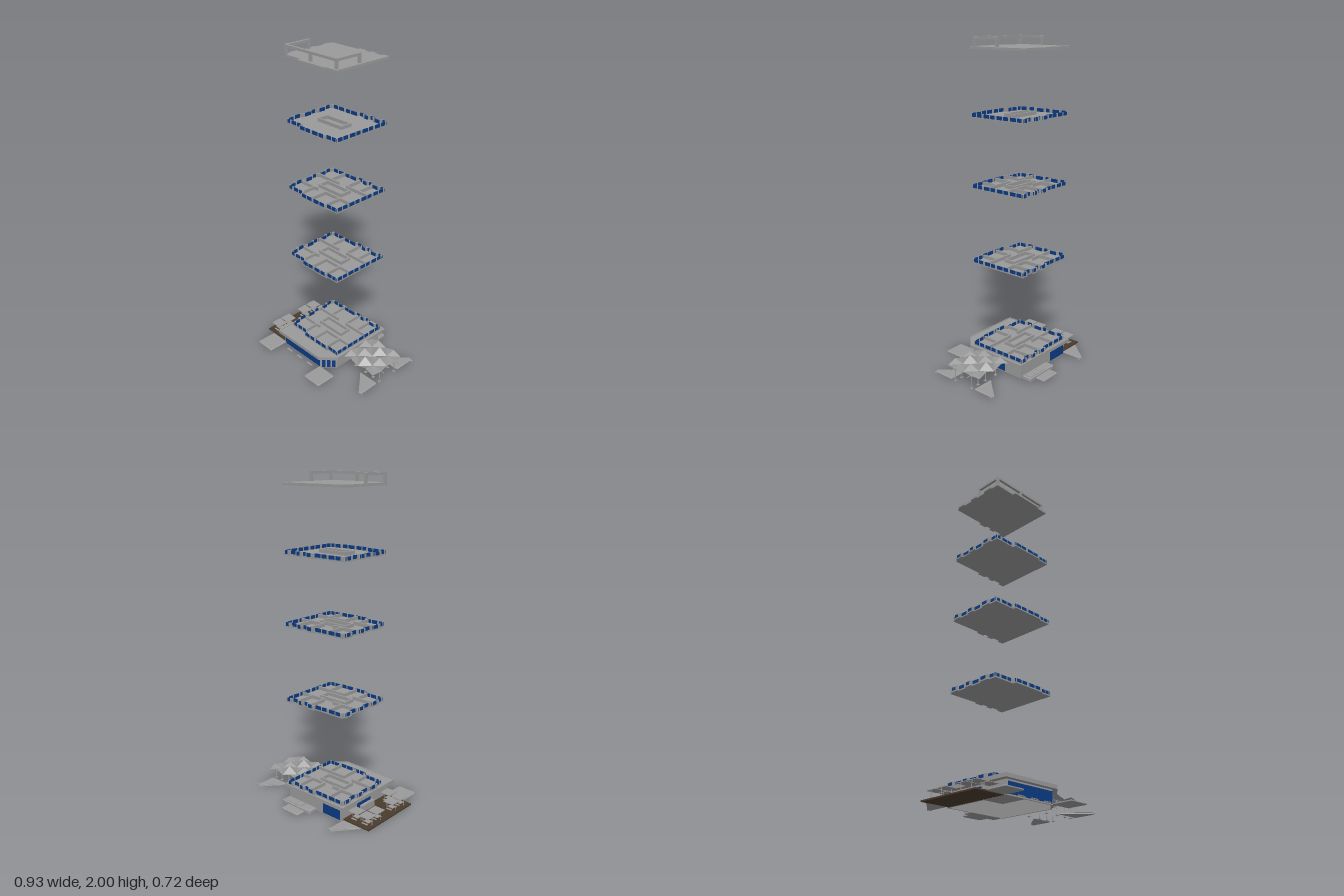
import * as THREE from 'three';

const grey = new THREE.MeshStandardMaterial({ color: 0x9a9a9a, flatShading: true, side: THREE.DoubleSide });
const blue = new THREE.MeshStandardMaterial({ color: 0x0b3b84, flatShading: true, side: THREE.DoubleSide });
const brown = new THREE.MeshStandardMaterial({ color: 0x4a3c2d, flatShading: true });

function add(parent, name, geo, mat = grey) {
  const m = new THREE.Mesh(geo, mat);
  m.name = name;
  parent.add(m);
  return m;
}

// Box given by its limits on each axis
function box(parent, name, x0, x1, y0, y1, z0, z1, mat) {
  const m = add(parent, name, new THREE.BoxGeometry(x1 - x0, y1 - y0, z1 - z0), mat);
  m.position.set((x0 + x1) / 2, (y0 + y1) / 2, (z0 + z1) / 2);
}

// Upright wall from a to b (x, z pairs), moved inward by inset
function wall(parent, name, a, b, y0, y1, t, mat, inset = 0) {
  const dx = b[0] - a[0], dz = b[1] - a[1], len = Math.hypot(dx, dz);
  const m = add(parent, name, new THREE.BoxGeometry(len, y1 - y0, t), mat);
  m.position.set((a[0] + b[0]) / 2 - (dz / len) * inset, (y0 + y1) / 2, (a[1] + b[1]) / 2 + (dx / len) * inset);
  m.rotation.y = -Math.atan2(dz, dx);
}

const mix = (a, b, t) => [a[0] + (b[0] - a[0]) * t, a[1] + (b[1] - a[1]) * t];

// Plan outline (x, z pairs) with optionally rounded corners
function outline(pts, r = 0, Type = THREE.Shape) {
  const s = new Type();
  pts.forEach((p, i) => {
    const prev = pts[(i + pts.length - 1) % pts.length], next = pts[(i + 1) % pts.length];
    const near = (q) => mix(p, q, r / Math.hypot(q[0] - p[0], q[1] - p[1]));
    const a = near(prev), b = near(next);
    if (i) s.lineTo(a[0], -a[1]); else s.moveTo(a[0], -a[1]);
    if (r) s.quadraticCurveTo(p[0], -p[1], b[0], -b[1]);
  });
  s.closePath();
  return s;
}

// Flat slab extruded upward from a plan outline
function slab(parent, name, pts, y0, y1, hole) {
  const s = outline(pts);
  if (hole) s.holes.push(outline(hole, 0, THREE.Path));
  const g = new THREE.ExtrudeGeometry(s, { depth: y1 - y0, bevelEnabled: false });
  g.rotateX(-Math.PI / 2);
  add(parent, name, g).position.y = y0;
}

// Rounded pad with a chamfered border
function pad(parent, name, pts, y0, y1) {
  const c = 0.003, border = 0.006;
  const g = new THREE.ExtrudeGeometry(outline(pts, 0.013), {
    depth: y1 - y0 - 2 * c, bevelThickness: c, bevelSize: border, bevelOffset: -border, bevelSegments: 1, curveSegments: 5,
  });
  g.rotateX(-Math.PI / 2);
  add(parent, name, g).position.y = y0 + c;
}

const rect = (x0, x1, z0, z1) => [[x0, z0], [x1, z0], [x1, z1], [x0, z1]];

// Stepped plan shared by the upper floors and the top roof
const PLAN = [
  [-0.277, -0.227], [-0.07, -0.227], [-0.07, -0.242], [-0.015, -0.242], [-0.015, -0.227],
  [0.02, -0.227], [0.02, -0.242], [0.06, -0.242], [0.06, -0.227], [0.113, -0.227], [0.113, -0.242],
  [0.156, -0.242], [0.156, 0.157], [0.075, 0.157], [0.075, 0.167], [-0.14, 0.167], [-0.14, 0.145],
  [-0.277, 0.145], [-0.277, 0.095], [-0.288, 0.095], [-0.288, 0.03], [-0.277, 0.03], [-0.277, -0.04],
  [-0.288, -0.04], [-0.288, -0.09], [-0.277, -0.09], [-0.277, -0.155], [-0.288, -0.155],
  [-0.288, -0.21], [-0.277, -0.21],
];

// Partition lines: x0, z0, x1, z1
const CORE = [[-0.165, -0.07, 0.035, -0.07], [0.03, -0.07, 0.03, 0], [-0.165, 0, 0.035, 0], [-0.16, -0.07, -0.16, 0]];
const ROOMS = [
  [-0.27, -0.105, -0.1, -0.105], [-0.03, -0.105, 0.15, -0.105], [-0.27, 0.04, -0.13, 0.04], [-0.06, 0.04, 0.15, 0.04],
  [-0.17, -0.22, -0.17, -0.105], [-0.03, -0.22, -0.03, -0.105], [0.07, -0.22, 0.07, -0.105],
  [-0.16, 0.04, -0.16, 0.14], [-0.06, 0.04, -0.06, 0.16], [0.06, 0.04, 0.06, 0.15],
];

function upperFloor(name, y, partitions) {
  const f = new THREE.Group();
  f.name = name;
  f.position.y = y;
  slab(f, 'floorSlab', PLAN, 0, 0.008);
  PLAN.forEach((a, i) => {
    const b = PLAN[(i + 1) % PLAN.length];
    const len = Math.hypot(b[0] - a[0], b[1] - a[1]);
    if (len < 0.03) return wall(f, 'returnWall', a, b, 0.008, 0.03, 0.005, grey, 0.004);
    // windows split by piers, every other pier wider
    const n = Math.max(1, Math.round(len / 0.05));
    for (let k = 0; k < n; k++) {
      const at = (t) => mix(a, b, (k + t) / n), pier = k % 2 ? 0.14 : 0.3;
      wall(f, 'pier', at(0), at(pier), 0.008, 0.03, 0.007, grey, 0.004);
      wall(f, 'window', at(pier), at(1), 0.008, 0.029, 0.005, blue, 0.004);
    }
  });
  for (const [x0, z0, x1, z1] of partitions) wall(f, 'partition', [x0, z0], [x1, z1], 0.008, 0.029, 0.01);
  return f;
}

function groundFloor() {
  const g = new THREE.Group();
  g.name = 'groundFloor';
  const roof = [[-0.302, -0.248], [0.176, -0.248], [0.176, 0.168], [0.087, 0.253], [-0.302, 0.253]];
  const rim = [[-0.296, -0.242], [0.17, -0.242], [0.17, 0.165], [0.084, 0.247], [-0.296, 0.247]];
  slab(g, 'lowerRoof', roof, 0.082, 0.1);
  slab(g, 'roofRim', roof, 0.1, 0.104, rim);
  // outer walls, open below
  const w = [[-0.27, -0.23], [0.152, -0.23], [0.152, 0.152], [0.076, 0.226], [-0.27, 0.226]];
  const inner = [[-0.262, -0.222], [0.144, -0.222], [0.144, 0.149], [0.073, 0.218], [-0.262, 0.218]];
  slab(g, 'outerWall', w, 0, 0.082, inner);
  // glazing: start, end, number of panes, share of glass
  const glazing = [
    [[-0.26, 0.227], [0.072, 0.227], 8, 0.96], [[0.08, 0.224], [0.15, 0.156], 3, 0.7], [[0.153, 0.03], [0.153, -0.1], 3, 0.96],
    [[-0.265, -0.231], [-0.13, -0.231], 4, 0.96], [[-0.271, -0.08], [-0.271, 0.05], 3, 0.96],
  ];
  for (const [a, b, n, share] of glazing)
    for (let k = 0; k < n; k++)
      wall(g, 'shopWindow', mix(a, b, (k + (1 - share) / 2) / n), mix(a, b, (k + (1 + share) / 2) / n), 0.008, 0.072, 0.005, blue);
  for (const x of [-0.193, -0.096, 0.002]) box(g, 'doorStep', x - 0.023, x + 0.023, 0, 0.004, 0.249, 0.26);
  return g;
}

function gardenBeds() {
  const g = new THREE.Group();
  g.name = 'gardenBeds';
  const beds = [
    [[-0.423, -0.217], [-0.292, -0.354], [-0.28, -0.354], [-0.28, -0.217]],
    rect(-0.402, -0.269, 0.218, 0.352), rect(0.068, 0.202, 0.225, 0.361),
    [[0.287, -0.108], [0.422, -0.248], [0.435, -0.248], [0.435, -0.108]],
    [[0.287, 0.08], [0.422, 0.22], [0.435, 0.22], [0.435, 0.08]],
  ];
  for (const b of beds) pad(g, 'bed', b, 0, 0.01);
  // stepped rear platform
  pad(g, 'rearLowerStep', rect(-0.04, 0.097, -0.361, -0.24), 0, 0.012);
  pad(g, 'rearUpperStep', rect(-0.083, 0.15, -0.3, -0.235), 0, 0.024);
  for (const x of [0, 0.046, 0.092]) box(g, 'rearBlock', x, x + 0.044, 0.024, 0.028, -0.294, -0.245);
  return g;
}

function terrace() {
  const g = new THREE.Group();
  g.name = 'terrace';
  box(g, 'deck', -0.465, -0.272, 0, 0.008, -0.208, 0.211, brown);
  box(g, 'counter', -0.312, -0.29, 0.008, 0.05, -0.075, 0.04);
  const places = [[-0.41, -0.151], [-0.328, -0.151], [-0.41, -0.069], [-0.41, 0.081], [-0.41, 0.16], [-0.328, 0.16]];
  for (const [x, z] of places) {
    const p = new THREE.Group();
    p.name = 'shadedTable';
    p.position.set(x, 0, z);
    g.add(p);
    box(p, 'sunshade', -0.036, 0.036, 0.056, 0.06, -0.036, 0.036);
    for (const s of [-1, 1]) {
      box(p, 'shadePole', s * 0.034 - 0.0015, s * 0.034 + 0.0015, 0.008, 0.057, -0.0015, 0.0015);
      box(p, 'bench', -0.02, 0.02, 0.012, 0.015, s * 0.024 - 0.005, s * 0.024 + 0.005);
    }
    box(p, 'tableTop', -0.02, 0.02, 0.018, 0.021, -0.012, 0.012);
    box(p, 'tableLeg', -0.003, 0.003, 0.008, 0.018, -0.003, 0.003);
  }
  return g;
}

function entranceCanopy() {
  const g = new THREE.Group();
  g.name = 'entranceCanopy';
  // folded roof: rows run along x, heights per row type
  const zs = [-0.145, -0.083, -0.015, 0.051, 0.115];
  const edge = [0.082, 0.104, 0.082, 0.104, 0.082], ridge = [0.104, 0.085, 0.122, 0.086, 0.093], valley = [0.086, 0.112, 0.086, 0.111, 0.083];
  const rows = [edge, ridge, valley, ridge, edge];
  const pos = [], idx = [];
  zs.forEach((z, j) => [0.176, 0.235, 0.302, 0.365, j % 2 ? 0.446 : 0.426].forEach((x, i) => pos.push(x, rows[j][i], z)));
  for (let j = 0; j < 4; j++)
    for (let i = 0; i < 4; i++) {
      const a = j * 5 + i, b = a + 1, c = a + 5, d = a + 6;
      if ((i + j) % 2) idx.push(a, c, b, b, c, d); else idx.push(a, c, d, a, d, b);
    }
  let geo = new THREE.BufferGeometry();
  geo.setAttribute('position', new THREE.Float32BufferAttribute(pos, 3));
  geo.setIndex(idx);
  geo = geo.toNonIndexed();
  geo.computeVertexNormals();
  add(g, 'foldedRoof', geo);
  for (const z of [-0.083, 0.051]) {
    for (const x of [0.22, 0.31, 0.375, 0.428]) {
      add(g, 'post', new THREE.CylinderGeometry(0.003, 0.003, 0.088, 8)).position.set(x, 0.044, z);
      box(g, 'postFoot', x - 0.008, x + 0.008, 0, 0.004, z - 0.008, z + 0.008);
    }
    box(g, 'roofBeam', 0.176, 0.464, 0.084, 0.088, z - 0.002, z + 0.002);
  }
  return g;
}

function topRoof() {
  const g = new THREE.Group();
  g.name = 'topRoof';
  slab(g, 'roofSlab', PLAN, 1.93, 1.945);
  // three-sided raised frame on posts
  box(g, 'frontRail', -0.275, 0.142, 1.985, 2, 0.13, 0.145);
  for (const x of [-0.275, 0.127]) {
    box(g, 'sideRail', x, x + 0.015, 1.985, 2, -0.038, 0.13);
    box(g, 'rearPost', x, x + 0.015, 1.945, 1.985, -0.038, -0.023);
  }
  for (const x of [-0.275, -0.073, 0.127]) box(g, 'frontPost', x, x + 0.015, 1.945, 1.985, 0.13, 0.145);
  return g;
}

export function createModel() {
  const model = new THREE.Group();
  model.name = 'explodedBuilding';
  model.add(groundFloor(), gardenBeds(), terrace(), entranceCanopy());
  [0.099, 0.65, 1.117].forEach((y, i) => model.add(upperFloor('apartmentFloor' + (i + 1), y, [...CORE, ...ROOMS])));
  model.add(upperFloor('openFloor', 1.54, CORE));
  model.add(topRoof());
  return model;
}
